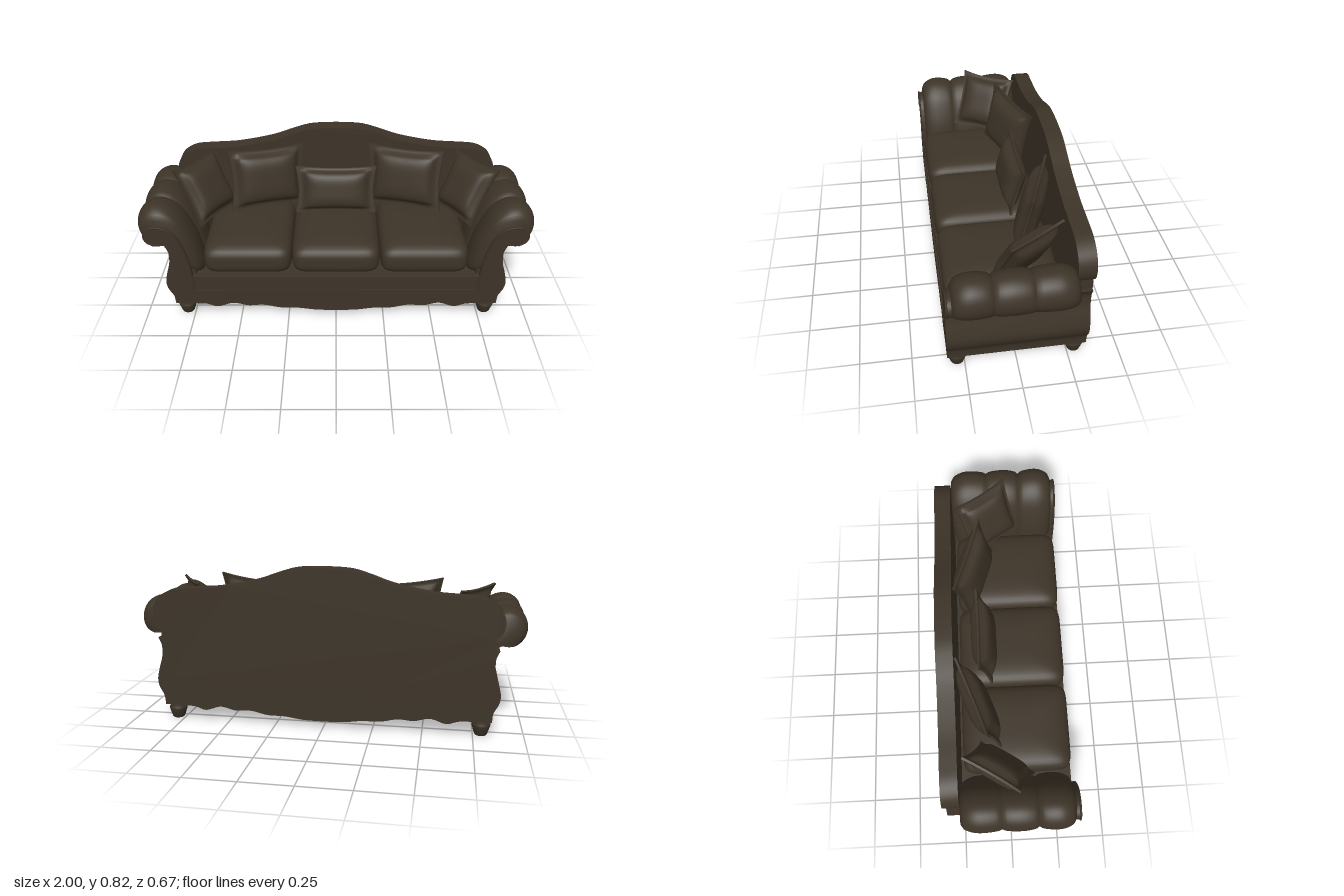
import * as THREE from 'three';
import { mergeVertices, toCreasedNormals } from 'three/addons/utils/BufferGeometryUtils.js';

const leather = new THREE.MeshStandardMaterial({ color: 0x3d3428 });
leather.name = 'dark brown leather';

export function createModel() {
  const model = new THREE.Group();
  model.name = 'sofa';

  const add = (name, geometry, parent = model) => {
    const mesh = new THREE.Mesh(geometry, leather);
    mesh.name = name;
    parent.add(mesh);
    return mesh;
  };
  const vectors = (pts) => pts.map(([x, y]) => new THREE.Vector2(x, y));
  const mirror = (pts) => pts.map(([x, y]) => [-x, y]).reverse();

  // Extrudes a symmetric outline; each run of points is a smooth spline
  const extrude = (runs, z0, z1) => {
    const shape = new THREE.Shape();
    shape.moveTo(...runs[0][0]);
    const all = [...runs, ...runs.map(mirror).reverse()];
    all.forEach((run, i) => {
      if (i > 0) shape.lineTo(...run[0]);
      shape.splineThru(vectors(run.slice(1)));
    });
    const g = new THREE.ExtrudeGeometry(shape, { depth: z1 - z0, bevelEnabled: false, curveSegments: 4 });
    g.translate(0, 0, z0);
    return toCreasedNormals(g, 0.6);
  };

  // Shared outlines, from the middle of the hem to the arm
  const hem = [[0, 0.035], [0.1, 0.037], [0.2, 0.05], [0.29, 0.052], [0.38, 0.07], [0.46, 0.066],
    [0.54, 0.083], [0.62, 0.06], [0.69, 0.078], [0.84, 0.08]];
  const side = [[0.84, 0.08], [0.845, 0.13], [0.868, 0.175], [0.875, 0.22], [0.862, 0.28],
    [0.845, 0.34], [0.843, 0.4], [0.86, 0.442]];

  // Body with scalloped underside
  add('base', extrude([hem, side, [[0.86, 0.442], [0.76, 0.44]],
    [[0.76, 0.44], [0.72, 0.24]], [[0.72, 0.24], [0, 0.24]]], -0.333, 0.3));

  // Front frame: apron and scrolled arm fronts in one board
  const scroll = [[0.86, 0.442], [0.91, 0.44], [0.948, 0.465], [0.955, 0.505], [0.925, 0.537],
    [0.87, 0.54], [0.815, 0.505], [0.775, 0.43], [0.75, 0.33], [0.735, 0.165]];
  add('frontFrame', extrude([hem, side, scroll, [[0.735, 0.165], [0, 0.165]]], 0.295, 0.335));
  const rail = add('seatRail', new THREE.BoxGeometry(1.48, 0.09, 0.06));
  rail.position.set(0, 0.2, 0.297);

  // Serpentine back
  const backTop = [[0, 0.82], [0.13, 0.814], [0.23, 0.787], [0.32, 0.755], [0.42, 0.73], [0.55, 0.708],
    [0.68, 0.7], [0.78, 0.69], [0.85, 0.65], [0.88, 0.59], [0.87, 0.53], [0.84, 0.5]];
  add('back', extrude([backTop, [[0.84, 0.5], [0.84, 0.42]], [[0.84, 0.42], [0.82, 0.2]],
    [[0.82, 0.2], [0, 0.2]]], -0.335, -0.25));

  // Rolled arms: one cross-section swept along z through three puffs
  const armSection = new THREE.CatmullRomCurve3([[0.69, 0.24], [0.7, 0.36], [0.735, 0.47], [0.79, 0.57],
    [0.855, 0.62], [0.92, 0.628], [0.975, 0.595], [1, 0.53], [0.985, 0.475], [0.945, 0.443],
    [0.86, 0.437], [0.76, 0.24]].map(([x, y]) => new THREE.Vector3(x, y, 0)), true, 'centripetal').getPoints(60);
  const armGeometry = (s) => {
    const stations = [[0.31, 0], [0.31, 0.68]];
    const bounds = [0.31, 0.13, -0.05, -0.25];
    const steps = 14;
    for (let k = 0; k < 3; k++) {
      for (let i = k ? 1 : 0; i <= steps; i++) {
        const t = i / steps;
        const puff = Math.sqrt(Math.max(0, Math.sin(Math.PI * t)));
        const outerEnd = (k === 0 && t < 0.5) || (k === 2 && t > 0.5);
        const low = outerEnd ? 0.68 : k === 0 || (k === 1 && t < 0.5) ? 0.86 : 0.9;
        stations.push([THREE.MathUtils.lerp(bounds[k], bounds[k + 1], t), low + (1 - low) * puff]);
      }
    }
    stations.push([-0.25, 0]);
    const n = armSection.length;
    const pos = [], index = [];
    stations.forEach(([z, f], i) => {
      armSection.forEach((p, j) => {
        pos.push(s * (0.86 + (p.x - 0.86) * f), 0.45 + (p.y - 0.45) * f, z);
        if (i === stations.length - 1 || j === n - 1) return;
        const a = i * n + j, b = a + 1, c = a + n, d = c + 1;
        if (s > 0) index.push(a, b, c, b, d, c);
        else index.push(a, c, b, b, c, d);
      });
    });
    const g = new THREE.BufferGeometry();
    g.setAttribute('position', new THREE.Float32BufferAttribute(pos, 3));
    g.setIndex(index);
    return toCreasedNormals(mergeVertices(g), 0.9);
  };

  // Plump box with rounded plan and softer vertical profile
  const cushionGeometry = (w, h, d) => {
    let g = new THREE.BoxGeometry(2, 2, 2, 18, 12, 18);
    g.deleteAttribute('uv');
    g.deleteAttribute('normal');
    g = mergeVertices(g);
    const p = g.attributes.position;
    for (let i = 0; i < p.count; i++) {
      const x = p.getX(i), y = p.getY(i), z = p.getZ(i);
      const plan = Math.pow(Math.abs(x) ** 9 + Math.abs(z) ** 9, 1 / 9);
      const k = 1 / Math.pow(plan ** 3.6 + Math.abs(y) ** 3.6, 1 / 3.6);
      p.setXYZ(i, x * k * w / 2, y * k * h / 2, z * k * d / 2);
    }
    g.computeVertexNormals();
    return g;
  };
  [-0.455, 0, 0.455].forEach((x) => {
    add('seatCushion', cushionGeometry(0.455, 0.19, 0.56)).position.set(x, 0.325, 0.045);
  });

  // Throw pillow with pinched sides and a flat flange
  const pillowGeometry = (w, h, thick) => {
    const g = new THREE.BoxGeometry(2, 2, 2, 28, 28, 1);
    const p = g.attributes.position;
    for (let i = 0; i < p.count; i++) {
      const u = p.getX(i), v = p.getY(i), sign = Math.sign(p.getZ(i));
      const a = Math.max(0, 1 - (u / 0.86) ** 4), b = Math.max(0, 1 - (v / 0.86) ** 4);
      p.setXYZ(i, w / 2 * u * (1 - 0.09 * (1 - v * v)), h / 2 * v * (1 - 0.09 * (1 - u * u)),
        sign * (0.006 + (thick / 2 - 0.006) * Math.sqrt(a * b)));
    }
    g.computeVertexNormals();
    return g;
  };
  const pillow = (name, size, at, yaw, pitch, roll = 0) => {
    const mesh = add(name, pillowGeometry(...size));
    mesh.position.set(...at);
    mesh.rotation.set(pitch, yaw, roll, 'YXZ');
  };
  pillow('lumbarPillow', [0.44, 0.26, 0.11], [0, 0.525, -0.1], 0, -0.25);

  // Turned bun foot
  const foot = new THREE.LatheGeometry(vectors([[0, 0], [0.027, 0], [0.032, 0.006], [0.04, 0.03],
    [0.046, 0.05], [0.046, 0.06], [0.04, 0.066], [0.04, 0.09]]), 24);

  for (const s of [-1, 1]) {
    add(s > 0 ? 'leftArm' : 'rightArm', armGeometry(s));
    pillow('backPillow', [0.42, 0.34, 0.12], [s * 0.375, 0.578, -0.14], s * -0.35, -0.2, s * 0.04);
    pillow('cornerPillow', [0.32, 0.33, 0.11], [s * 0.69, 0.565, -0.05], s * -1, -0.5);

    // Piping along the scroll and the inner edge of the arm front
    const path = new THREE.CatmullRomCurve3(scroll.slice(1).map(([x, y]) => new THREE.Vector3(s * x, y, 0.332)));
    add('armPiping', new THREE.TubeGeometry(path, 48, 0.005, 6));

    for (const z of [0.285, -0.285]) add('foot', foot).position.set(s * 0.79, 0, z);
  }
  return model;
}
